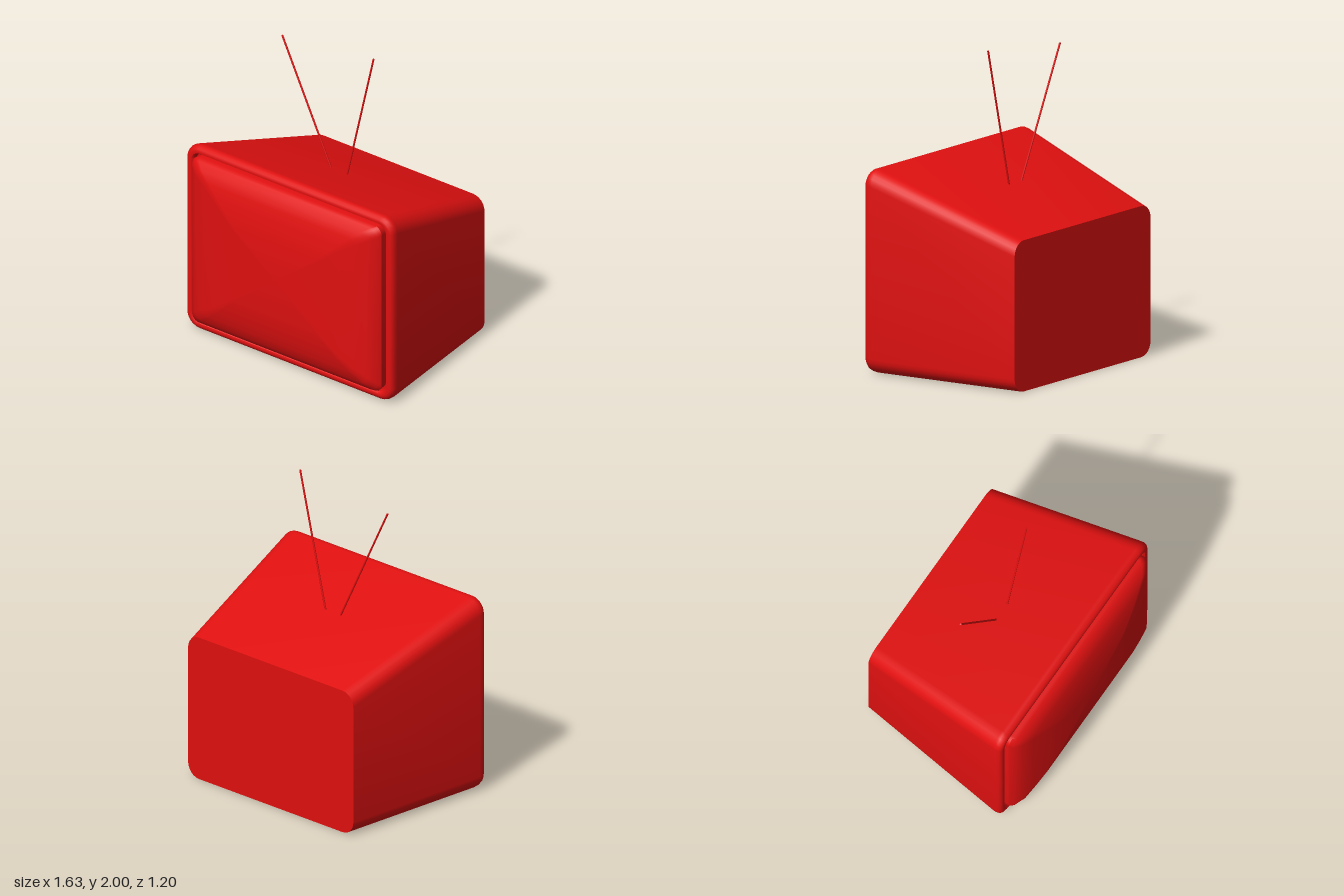
import * as THREE from 'three';
import { toCreasedNormals } from 'three/addons/utils/BufferGeometryUtils.js';

const CORNER = 6; // segments per rounded corner

// Rounded rectangle at depth z: half width, bottom, top, corner radius
function ring([z, hw, y0, y1, r]) {
  const points = [];
  const corners = [[hw - r, y0 + r], [hw - r, y1 - r], [-hw + r, y1 - r], [-hw + r, y0 + r]];
  corners.forEach(([cx, cy], q) => {
    for (let i = 0; i <= CORNER; i++) {
      const a = (q - 1 + i / CORNER) * Math.PI / 2;
      points.push([cx + r * Math.cos(a), cy + r * Math.sin(a), z]);
    }
  });
  return points;
}

// Skin a row of sections running back to front, closing both ends
function loft(sections, crease) {
  const n = 4 * (CORNER + 1);
  const positions = [];
  const index = [];
  for (const s of sections) positions.push(...ring(s).flat());
  for (let k = 0; k < sections.length - 1; k++) {
    for (let j = 0; j < n; j++) {
      const a = k * n + j, b = k * n + (j + 1) % n;
      index.push(a, b, b + n, a, b + n, a + n);
    }
  }
  const last = (sections.length - 1) * n;
  const backCentre = sections.length * n;
  for (const s of [sections[0], sections[sections.length - 1]]) {
    positions.push(0, (s[2] + s[3]) / 2, s[0]);
  }
  for (let j = 0; j < n; j++) {
    const next = (j + 1) % n;
    index.push(backCentre, next, j, backCentre + 1, last + j, last + next);
  }
  const geometry = new THREE.BufferGeometry();
  geometry.setAttribute('position', new THREE.Float32BufferAttribute(positions, 3));
  geometry.setIndex(index);
  return toCreasedNormals(geometry, crease);
}

export function createModel() {
  const group = new THREE.Group();
  const red = new THREE.MeshStandardMaterial({ color: 0xe01010 });

  const add = (name, geometry) => {
    const mesh = new THREE.Mesh(geometry, red);
    mesh.name = name;
    group.add(mesh);
    return mesh;
  };

  // Tapered cabinet with sloping top, rounded front rim and recess for the screen
  add('cabinet', loft([
    [-0.6, 0.68, 0, 0.95, 0.09],
    [0.41, 0.813, 0, 1.277, 0.1],
    [0.43, 0.815, 0.003, 1.28, 0.1],
    [0.45, 0.81, 0.01, 1.273, 0.095],
    [0.462, 0.80, 0.022, 1.262, 0.085],
    [0.467, 0.785, 0.035, 1.247, 0.075],
    [0.465, 0.768, 0.05, 1.235, 0.065],
    [0.455, 0.758, 0.06, 1.228, 0.06],
    [0.43, 0.755, 0.063, 1.225, 0.06],
  ], 0.65));

  // Bulging picture tube with a flat centre
  add('screen', loft([
    [0.42, 0.738, 0.078, 1.218, 0.05],
    [0.48, 0.745, 0.072, 1.222, 0.055],
    [0.505, 0.73, 0.085, 1.21, 0.055],
    [0.54, 0.675, 0.13, 1.175, 0.05],
    [0.56, 0.59, 0.19, 1.115, 0.04],
    [0.58, 0.49, 0.26, 1.04, 0.03],
    [0.6, 0.34, 0.39, 0.91, 0.015],
  ], 0.65));

  // Two thin rods rising from the sloping top
  const rods = [['leftAntenna', 0.033, 0.245, 2.0], ['rightAntenna', -0.082, -0.475, 1.92]];
  for (const [name, x0, x1, y1] of rods) {
    const base = new THREE.Vector3(x0, 1.11, -0.058);
    const tip = new THREE.Vector3(x1, y1, -0.058);
    const along = tip.clone().sub(base);
    const rod = add(name, new THREE.CylinderGeometry(0.006, 0.006, along.length(), 8));
    rod.position.copy(base).addScaledVector(along, 0.5);
    rod.quaternion.setFromUnitVectors(new THREE.Vector3(0, 1, 0), along.normalize());
  }
  return group;
}
